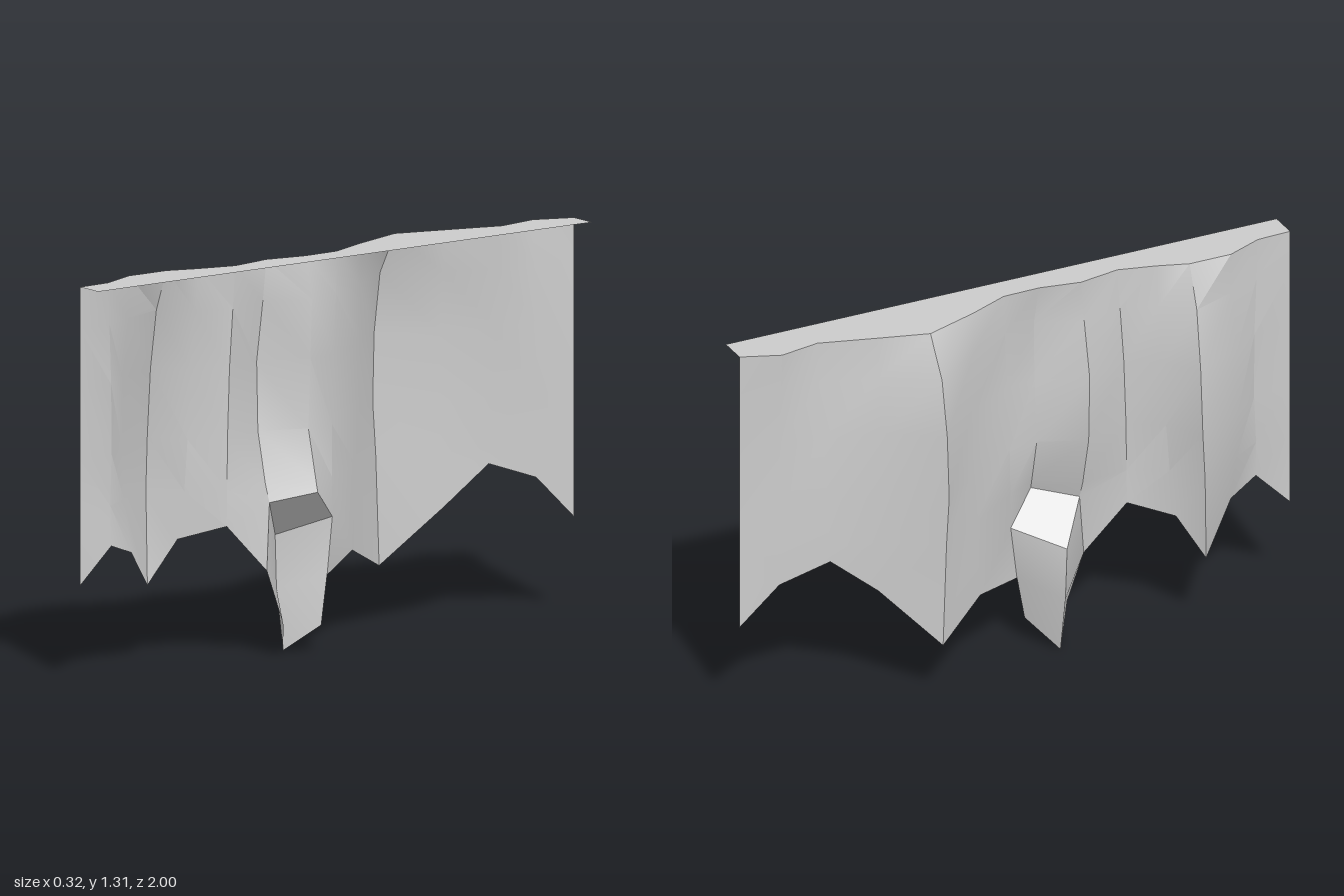
import * as THREE from 'three';
import { toCreasedNormals } from 'three/addons/utils/BufferGeometryUtils.js';

const TOP = 1.31;
const ROWS = [TOP, 1.17, 0.97, 0.74, 0.57]; // heights above the hem

// One vertical line of the cloth: hem height, z at top / middle / hem,
// then x at each row down to the hem (a single x means a straight line).
const LINES = [
  [0.32, 1, 1, 1, 0.06],
  [0.44, 0.88, 0.857, 0.88, 0.055, 0.05, 0.045, 0.05, 0.055, 0.07],
  [0.40, 0.755, 0.77, 0.77, 0, 0, -0.02, -0.02, -0.01, 0.03],
  [0.26, 0.605, 0.59, 0.63, 0, -0.06, -0.1, -0.12, -0.11, -0.07],
  [0.41, 0.5, 0.51, 0.545, 0.035, 0.02, 0, 0, 0, -0.02],
  [0.45, 0.375, 0.405, 0.41, 0.066],
  [0.51, 0.23, 0.25, 0.24, 0.04, 0.03, 0.01, 0.015, 0.05, 0.07],
  [0.54, 0.09, 0.08, 0.1, 0.065, 0.095, 0.08, 0.08, 0.135, 0.145],
  [0.44, -0.04, -0.02, 0, 0.062, 0.065, 0.065, 0.07, 0.08, 0.09],
  [0.29, -0.18, -0.22, -0.17, 0, -0.02, -0.04, -0.05, -0.05, -0.03],
  [0.20, -0.37, -0.345, -0.36, -0.068, -0.14, -0.16, -0.155, -0.145, -0.14],
  [0.39, -0.54, -0.53, -0.54, -0.02, -0.03, -0.04, -0.04, -0.04, -0.03],
  [0.52, -0.73, -0.72, -0.7, 0.035, 0.025, 0.01, 0, 0, 0],
  [0.46, -0.87, -0.87, -0.87, 0.01, 0.02, 0.03, 0.03, 0.03, 0.03],
  [0.32, -1, -1, -1, 0.06],
];

function linePoints([hem, zTop, zMid, zHem, ...xs]) {
  return [...ROWS, hem].map((y, i) => {
    const t = (TOP - y) / (TOP - hem);
    const z = t < 0.5
      ? THREE.MathUtils.lerp(zTop, zMid, t * 2)
      : THREE.MathUtils.lerp(zMid, zHem, t * 2 - 1);
    return [xs[i] ?? xs[0], y, z];
  });
}

// Triangles spanning neighbouring lines of points
function strip(lines) {
  const out = [];
  for (let c = 0; c < lines.length - 1; c++) {
    const a = lines[c], b = lines[c + 1];
    for (let r = 0; r < a.length - 1; r++) {
      out.push(a[r], a[r + 1], b[r + 1], a[r], b[r + 1], b[r]);
    }
  }
  return out;
}

// Fan of triangles around the first point
function fan(...pts) {
  const out = [];
  for (let i = 1; i < pts.length - 1; i++) out.push(pts[0], pts[i], pts[i + 1]);
  return out;
}

function surface(name, points, crease) {
  const raw = new THREE.BufferGeometry();
  raw.setAttribute('position', new THREE.Float32BufferAttribute(points.flat(), 3));
  raw.computeVertexNormals();
  const material = new THREE.MeshStandardMaterial({ color: 0xcccccc, side: THREE.DoubleSide });
  const mesh = new THREE.Mesh(toCreasedNormals(raw, crease), material);
  mesh.name = name;
  return mesh;
}

export function createModel() {
  const group = new THREE.Group();
  group.name = 'hangingCloth';
  const lines = LINES.map(linePoints);
  const hem = lines.map((l) => l[l.length - 1]);

  // Corners of the folded-under ledge and the tab hanging from it
  const ledgeLeft = hem[6], ledgeTop = hem[7], ledgeRight = hem[8];
  const ledgeLow = [-0.02, 0.38, 0.15];
  const ridge = [-0.022, 0.2, 0.143];
  const tip = [0.012, 0, 0.142];
  const tabLeft = [0.09, 0.29, 0.265], tabLeftLow = [0.12, 0.11, 0.22];
  const tabRight = [0.095, 0.25, 0.025], tabRightLow = [0.11, 0.09, 0.06];

  // Draped sheet, with the hem corners that run down beside the tab
  group.add(surface('drapedCloth', [
    ...strip(lines),
    ...fan(hem[5], tabLeft, ledgeLeft),
    ...fan(ledgeRight, tabRight, hem[9]),
  ], 0.5));

  // Ledge sloping back under the bulge
  group.add(surface('foldLedge', fan(ledgeTop, ledgeLeft, ledgeLow, ledgeRight), 0.5));

  // V-shaped tab below the ledge
  group.add(surface('hangingTab', [
    ...fan(ridge, ledgeLow, ledgeLeft, tabLeft, tabLeftLow, tip),
    ...fan(ridge, tip, tabRightLow, tabRight, ledgeRight, ledgeLow),
  ], 0.5));

  // Flat top strip joining the wavy top edge to a straight edge
  group.add(surface('topStrip', strip(lines.map(([p]) => [p, [0.16, TOP, p[2]]])), 0.5));

  return group;
}
